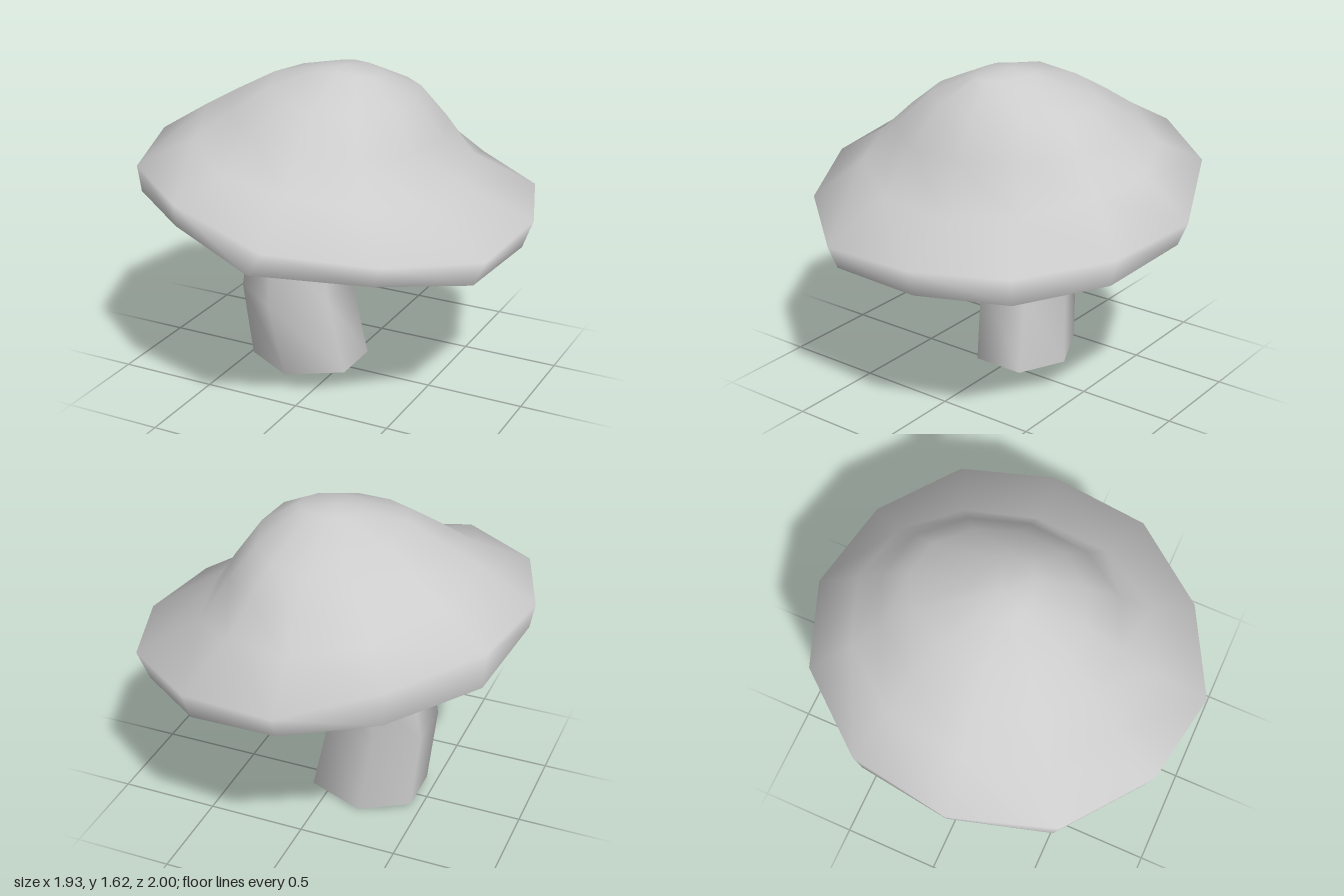
import * as THREE from 'three';

// Skin between rings of [x, y, z] points (bottom to top, clockwise from above), smooth, with optional apex
function loft(rings, apex) {
  const n = rings[0].length, index = [];
  const points = rings.flat();
  for (let r = 0; r < rings.length - 1; r++) {
    for (let i = 0; i < n; i++) {
      const j = (i + 1) % n;
      const a = r * n + i, b = r * n + j, A = a + n, B = b + n;
      index.push(a, A, B, a, B, b);
    }
  }
  if (apex) {
    const last = (rings.length - 1) * n;
    for (let i = 0; i < n; i++) index.push(last + i, points.length, last + (i + 1) % n);
    points.push(apex);
  }
  return build(points, index);
}

// Downward-facing disc closing a ring
function disc(ring, centre) {
  const index = [];
  ring.forEach((_, i) => index.push(i, (i + 1) % ring.length, ring.length));
  return build([...ring, centre], index);
}

function build(points, index) {
  const g = new THREE.BufferGeometry();
  g.setAttribute('position', new THREE.Float32BufferAttribute(points.flat(), 3));
  g.setIndex(index);
  g.computeVertexNormals();
  return g;
}

export function createModel() {
  const grey = new THREE.MeshStandardMaterial({ color: 0xcccccc, side: THREE.DoubleSide });
  grey.name = 'pale grey';
  const model = new THREE.Group();
  model.name = 'mushroom';
  const add = (name, geometry, parent) => {
    const mesh = new THREE.Mesh(geometry, grey);
    mesh.name = name;
    parent.add(mesh);
  };

  // Tilted, slightly warped brim: widest edge and lower edge
  const brim = [
    [-0.09, 1.01, -1.0], [0.40, 0.97, -0.92], [0.80, 0.94, -0.63], [0.96, 0.92, -0.17],
    [0.92, 0.89, 0.35], [0.58, 0.95, 0.76], [0.11, 1.02, 1.0], [-0.39, 1.14, 0.92],
    [-0.80, 1.17, 0.61], [-0.97, 1.20, 0.11], [-0.89, 1.20, -0.40], [-0.56, 1.15, -0.80],
  ];
  const lowerEdge = [
    [-0.09, 0.89, -0.95], [0.38, 0.83, -0.88], [0.75, 0.79, -0.60], [0.91, 0.78, -0.16],
    [0.86, 0.765, 0.35], [0.53, 0.84, 0.73], [0.02, 0.89, 0.97], [-0.41, 1.02, 0.88],
    [-0.80, 1.03, 0.58], [-0.95, 1.08, 0.10], [-0.87, 1.0, -0.38], [-0.53, 0.95, -0.77],
  ];

  // Dome rings: [reach, height] towards left (+x), right (-x), front and back
  const domeRing = ([left, right, front, back]) => brim.map(([x, , z]) => {
    const d = Math.hypot(x, z), c = x / d, s = z / d;
    const [rx, yx] = c > 0 ? left : right;
    const [rz, yz] = s > 0 ? front : back;
    return [c * rx, c * c * yx + s * s * yz, s * rz];
  });
  const dome = [
    [[0.66, 1.05], [0.72, 1.36], [0.73, 1.19], [0.78, 1.20]],
    [[0.51, 1.29], [0.54, 1.46], [0.55, 1.35], [0.64, 1.35]],
    [[0.37, 1.49], [0.35, 1.56], [0.37, 1.49], [0.50, 1.465]],
    [[0.20, 1.59], [0.14, 1.60], [0.10, 1.61], [0.17, 1.61]],
  ].map(domeRing);

  const cap = new THREE.Group();
  cap.name = 'cap';
  model.add(cap);
  add('capTop', loft([lowerEdge, brim, ...dome], [0, 1.62, -0.03]), cap);
  add('capUnderside', disc(lowerEdge, [0, 0.9, 0]), cap);

  // Bent six-sided stem: [y, xMin, xMax, zFront, zBack, lift of the side corners]
  const stemRings = [
    [0, -0.455, 0.08, 0.23, -0.235, 0.03],
    [0.40, -0.49, 0.0, 0.295, -0.20, 0.03],
    [0.69, -0.45, -0.035, 0.262, -0.205, 0.02],
    [1.0, -0.36, 0.035, 0.235, -0.20, 0],
  ].map(([y, x0, x1, zf, zb, lift]) => {
    const mid = (x0 + x1) / 2 - 0.02;
    return [
      [mid, y, zb], [x1, y + lift, zb * 0.65], [x1, y + lift, zf * 0.52],
      [mid, y, zf], [x0, y + lift, zf * 0.55], [x0, y + lift, zb * 0.55],
    ];
  });
  const stem = new THREE.Group();
  stem.name = 'stem';
  model.add(stem);
  add('stemSide', loft(stemRings), stem);
  add('stemBase', disc(stemRings[0], [-0.2, 0.01, 0]), stem);

  return model;
}
